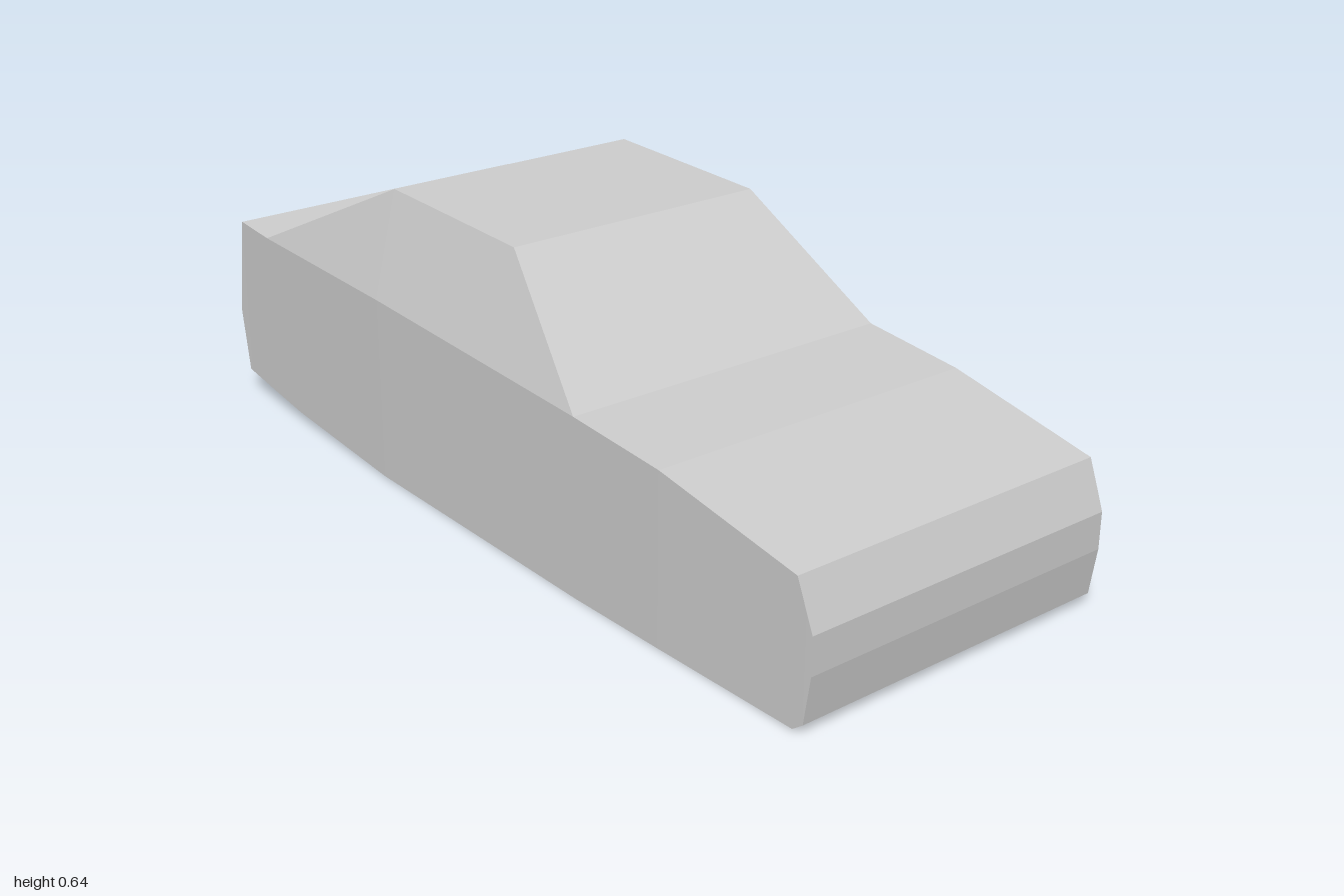
import * as THREE from 'three';

const material = new THREE.MeshStandardMaterial({ color: 0xcccccc, flatShading: true });

// Skin a row of rings (each counterclockwise seen from the first ring's side), with end caps.
function loft(name, rings, capEnd) {
  const positions = [];
  const tri = (...points) => points.forEach((p) => positions.push(...p));
  const n = rings[0].length;
  for (let r = 0; r < rings.length - 1; r++) {
    for (let i = 0; i < n; i++) {
      const j = (i + 1) % n;
      const a = rings[r][i], b = rings[r][j], c = rings[r + 1][j], d = rings[r + 1][i];
      tri(a, d, c);
      tri(a, c, b);
    }
  }
  const first = rings[0], last = rings[rings.length - 1];
  for (let k = 2; k < n; k++) {
    const i = k, j = (k + 1) % n;
    tri(first[1], first[i], first[j]);
    if (capEnd) tri(last[1], last[j], last[i]);
  }
  const geometry = new THREE.BufferGeometry();
  geometry.setAttribute('position', new THREE.Float32BufferAttribute(positions, 3));
  geometry.computeVertexNormals();
  const mesh = new THREE.Mesh(geometry, material);
  mesh.name = name;
  return mesh;
}

export function createModel() {
  const group = new THREE.Group();
  group.name = 'car';

  // Lower body, nose to tail: z, underside y, upper y, half width
  const stations = [
    [1.0, 0.125, 0.205, 0.379],
    [0.985, 0.022, 0.243, 0.38],
    [0.96, 0.003, 0.305, 0.381],
    [0.6, 0.001, 0.37, 0.39],
    [0.35, 0.0, 0.39, 0.395],
    [-0.35, 0.003, 0.42, 0.395],
    [-0.73, 0.025, 0.426, 0.389],
    [-0.84, 0.039, 0.428, 0.388],
    [-0.965, 0.054, 0.435, 0.385],
    [-0.975, 0.056, 0.369, 0.385],
    [-1.0, 0.204, 0.206, 0.385],
  ];
  const bodyRings = stations.map(([z, low, high, w]) => [
    [-w, low, z], [w, low, z], [w, high, z], [-w, high, z],
  ]);
  group.add(loft('body', bodyRings, true));

  // Cabin: one side of each ring, front to rear, mirrored to the other side
  const mirrored = (side) => [...side, ...side.map(([x, y, z]) => [-x, y, z]).reverse()];
  const roof = mirrored([[0.313, 0.63, 0.05], [0.313, 0.639, -0.25], [0.313, 0.643, -0.39]]);
  const belt = mirrored([[0.395, 0.39, 0.35], [0.395, 0.42, -0.35], [0.388, 0.428, -0.84]]);
  group.add(loft('cabin', [roof, belt], false));

  return group;
}
